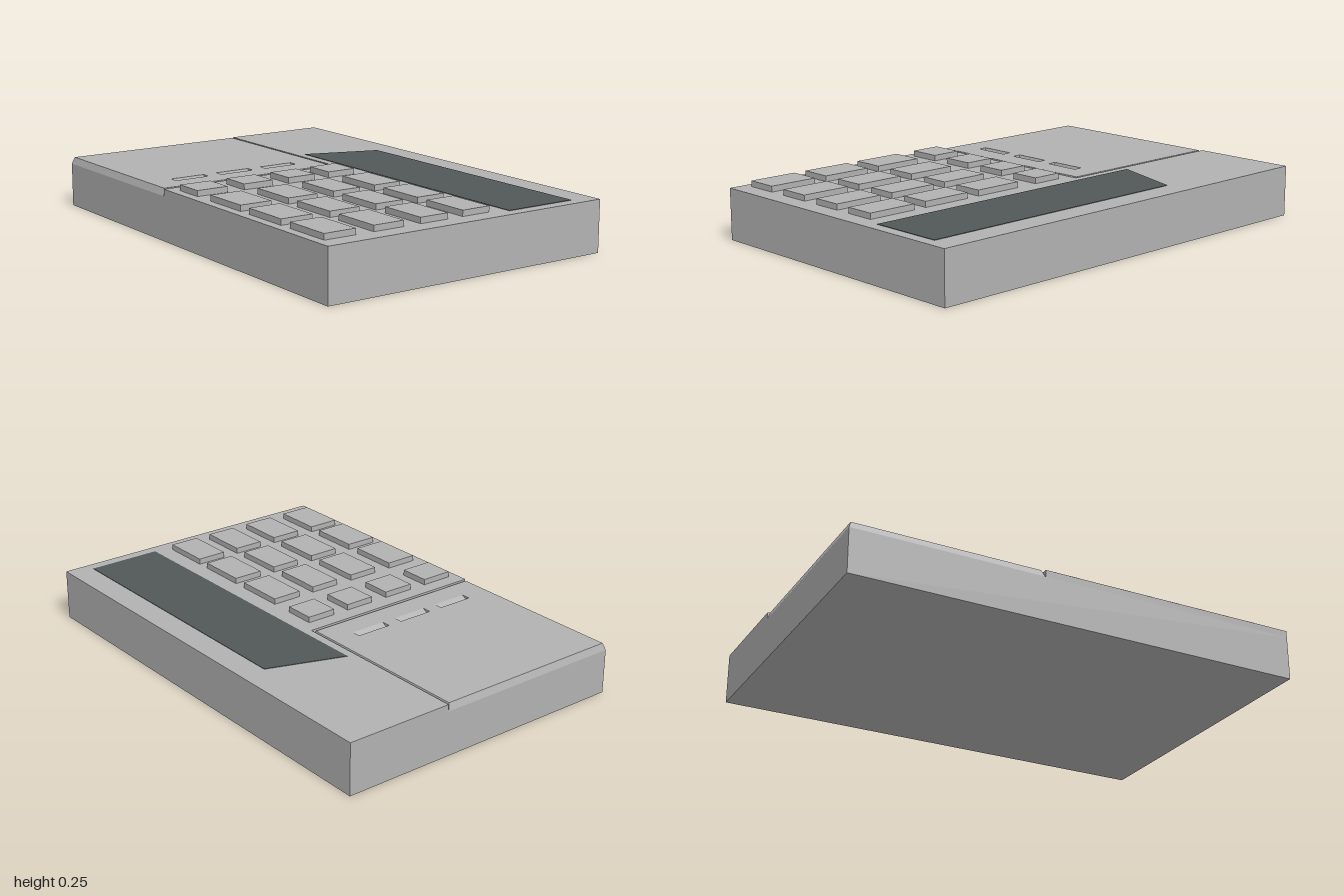
import * as THREE from 'three';

const W = 1, D = 0.667;           // half width and half depth
const BASE = 0.192, TOP = 0.222;  // recess floor and top surface
const LID_X = -0.165, LID_Z = -0.192; // inner corner of the lid recess

const grey = new THREE.MeshStandardMaterial({ color: 0xb2b2b2 });
grey.name = 'casing grey';
const dark = new THREE.MeshStandardMaterial({ color: 0x525757 });
dark.name = 'display dark grey';

function add(group, name, geometry, material) {
  const mesh = new THREE.Mesh(geometry, material);
  mesh.name = name;
  group.add(mesh);
  return mesh;
}

// Box from its two opposite corners
function boxBetween(x0, x1, y0, y1, z0, z1) {
  return new THREE.BoxGeometry(x1 - x0, y1 - y0, z1 - z0)
    .translate((x0 + x1) / 2, (y0 + y1) / 2, (z0 + z1) / 2);
}

// Shape in plan, given as [x, z] points
function planShape(points) {
  return new THREE.Shape(points.map(([x, z]) => new THREE.Vector2(x, -z)));
}

function slab(points, y, height) {
  return new THREE.ExtrudeGeometry(planShape(points), { depth: height, bevelEnabled: false })
    .rotateX(-Math.PI / 2).translate(0, y, 0);
}

// Flat faces (triangles or quads), corners counter-clockwise from outside
function faces(list) {
  const pos = [];
  for (const f of list) {
    for (let i = 1; i < f.length - 1; i++) pos.push(...f[0], ...f[i], ...f[i + 1]);
  }
  const g = new THREE.BufferGeometry();
  g.setAttribute('position', new THREE.Float32BufferAttribute(pos, 3));
  g.computeVertexNormals();
  return g;
}

const rect = (x0, x1, z0, z1) => [[x0, z0], [x0, z1], [x1, z1], [x1, z0]];

export function createModel() {
  const model = new THREE.Group();
  model.name = 'calculator';

  // Casing: full lower block and an L-shaped upper layer around the lid
  add(model, 'casingBase', boxBetween(-W, W, 0, BASE, -D, D), grey);
  add(model, 'casingTop', slab([
    [-W, -D], [-W, LID_Z], [LID_X, LID_Z], [LID_X, D], [W, D], [W, -D],
  ], BASE, TOP - BASE), grey);

  // Lid with sloping sides, leaving a narrow groove beside the casing
  const lid = new THREE.Group();
  lid.name = 'lid';
  model.add(lid);
  const lower = rect(-W, LID_X - 0.003, LID_Z + 0.001, D);
  const upper = rect(-0.99, -0.181, -0.181, 0.656);
  add(lid, 'lidSides', faces(lower.map(([x, z], i) => {
    const j = (i + 1) % 4;
    return [[x, BASE, z], [lower[j][0], BASE, lower[j][1]],
      [upper[j][0], TOP, upper[j][1]], [upper[i][0], TOP, upper[i][1]]];
  })), grey);

  // Three finger grips cut into the lid as ramps
  const lidShape = planShape(upper);
  const x0 = -0.325, x1 = -0.285, deep = TOP - 0.02;
  for (const [z0, z1] of [[-0.07, 0.09], [0.155, 0.315], [0.38, 0.54]]) {
    lidShape.holes.push(new THREE.Path(
      rect(x0, x1, z0, z1).map(([x, z]) => new THREE.Vector2(x, -z))));
    const xw = x0 + 0.006;
    add(lid, 'lidGrip', faces([
      [[xw, deep, z0], [xw, deep, z1], [x1, TOP, z1], [x1, TOP, z0]],
      [[x0, TOP, z0], [x0, TOP, z1], [xw, deep, z1], [xw, deep, z0]],
      [[x0, TOP, z0], [xw, deep, z0], [x1, TOP, z0]],
      [[x0, TOP, z1], [x1, TOP, z1], [xw, deep, z1]],
    ]), grey);
  }
  add(lid, 'lidTop', new THREE.ShapeGeometry(lidShape)
    .rotateX(-Math.PI / 2).translate(0, TOP, 0), grey);

  // Display with a slanted left end
  add(model, 'display', slab([
    [-0.333, -0.557], [-0.445, -0.23], [0.95, -0.23], [0.95, -0.557],
  ], TOP - 0.001, 0.003), dark);

  // Keypad: four rows of four, with a narrow first column
  const keypad = new THREE.Group();
  keypad.name = 'keypad';
  model.add(keypad);
  const columns = [[-0.1, 0.037], [0.138, 0.36], [0.42, 0.642], [0.7, 0.92]];
  const rows = [[-0.153, -0.02], [0.053, 0.185], [0.264, 0.404], [0.484, 0.627]];
  for (const [z0, z1] of rows) {
    for (const [a, b] of columns) {
      add(keypad, 'key', boxBetween(a, b, TOP - 0.005, 0.247, z0, z1), grey);
    }
  }
  return model;
}
